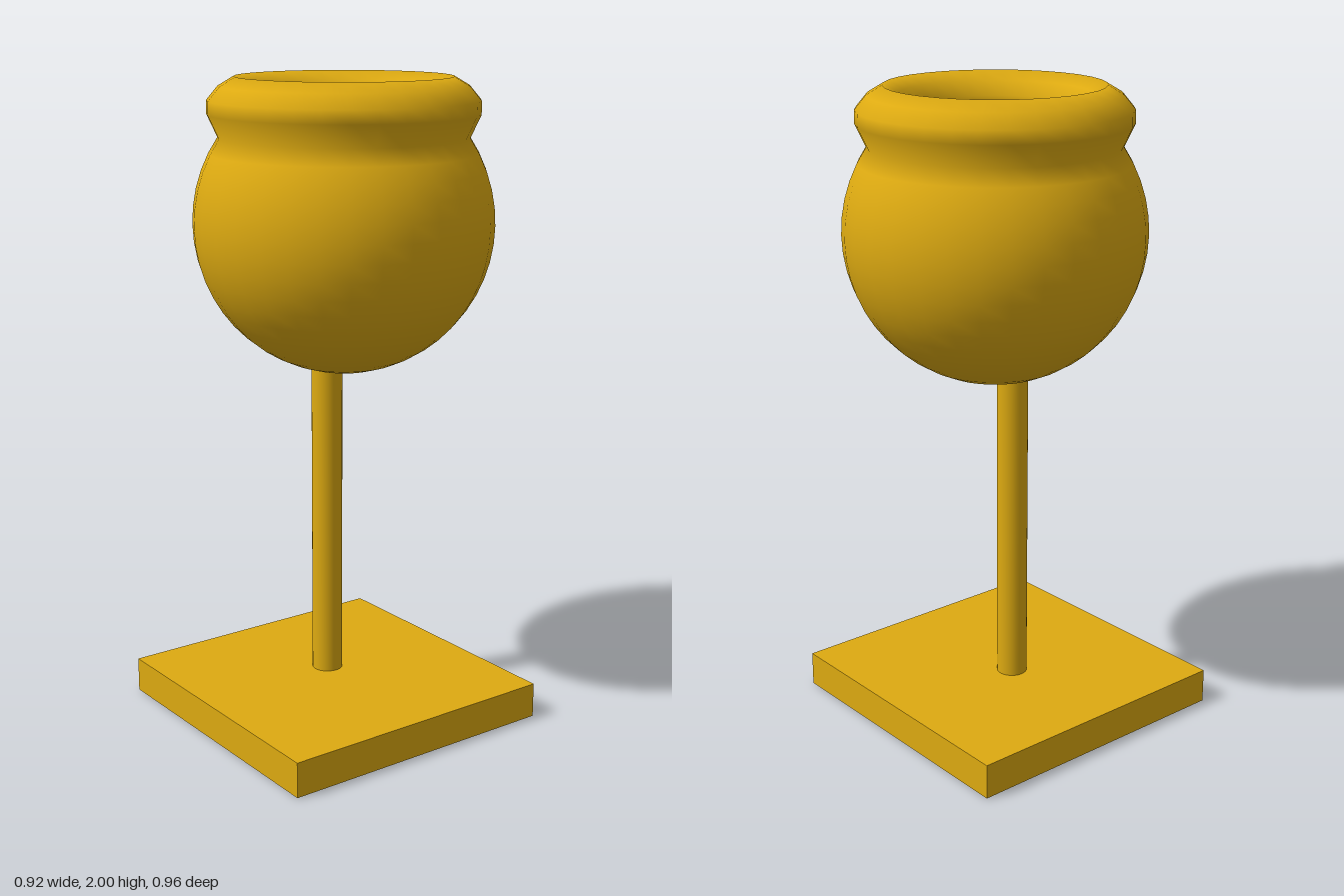
import * as THREE from 'three';

export function createModel() {
  const model = new THREE.Group();
  const gold = new THREE.MeshStandardMaterial({ color: 0xddaa11 });
  const goldShell = new THREE.MeshStandardMaterial({ color: 0xddaa11, side: THREE.DoubleSide });

  function add(name, geometry, material, x, y, z) {
    const mesh = new THREE.Mesh(geometry, material);
    mesh.name = name;
    mesh.position.set(x, y, z);
    model.add(mesh);
  }

  // Square foot
  add('base', new THREE.BoxGeometry(0.917, 0.11, 0.915), gold, 0.001, 0.055, 0.022);

  // Slightly off-centre post
  add('stem', new THREE.CylinderGeometry(0.048, 0.048, 1.04, 32), gold, -0.047, 0.61, 0.007);

  // Hollow pot: spherical outside, thick rolled rim, spherical inside
  const centreY = 1.563;
  const arc = (radius, from, to, steps) =>
    Array.from({ length: steps + 1 }, (_, i) => {
      const a = from + ((to - from) * i) / steps;
      return new THREE.Vector2(Math.max(0, radius * Math.sin(a)), centreY - radius * Math.cos(a));
    });
  const rim = [
    [0.41, 1.89], [0.41, 1.93], [0.375, 1.972], [0.328, 2.0],
    [0.285, 1.972], [0.256, 1.93], [0.256, 1.89],
  ].map(([r, y]) => new THREE.Vector2(r, y));
  const profile = [
    ...arc(0.458, 0, 2.17, 18),
    ...rim,
    ...arc(0.41, 2.4, 0, 18),
  ];
  add('pot', new THREE.LatheGeometry(profile, 32), goldShell, -0.005, 0, -0.027);

  return model;
}
